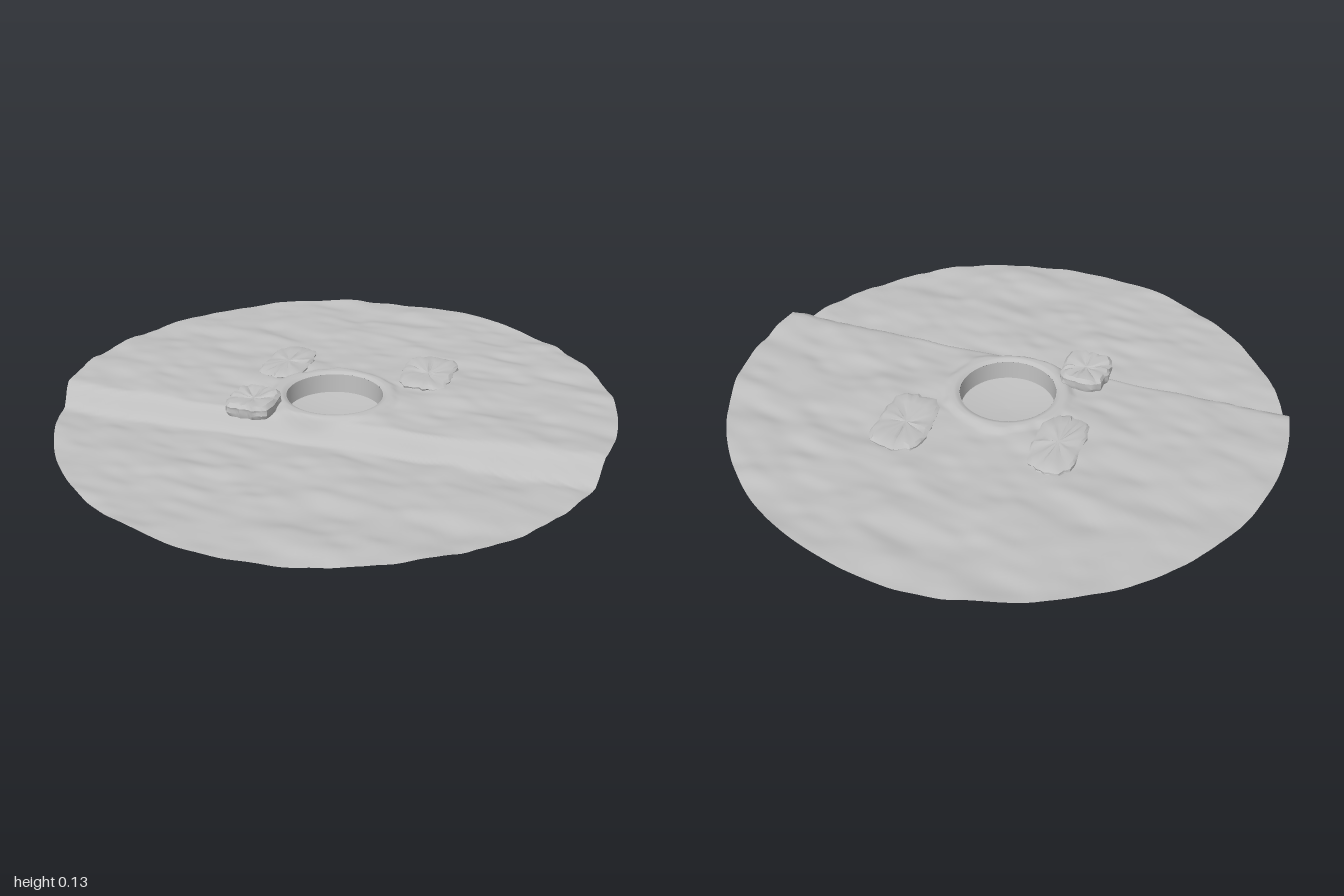
import * as THREE from 'three';
import { toCreasedNormals } from 'three/addons/utils/BufferGeometryUtils.js';

const { smoothstep, lerp } = THREE.MathUtils;
const PIT = 0.175;

const stone = new THREE.MeshStandardMaterial({ color: 0xbfbfbf, side: THREE.DoubleSide });
stone.name = 'pale grey stone';

// Repeatable value noise, -1 to 1
function hash(i, j) {
  const s = Math.sin(i * 127.1 + j * 311.7) * 43758.5453;
  return (s - Math.floor(s)) * 2 - 1;
}
function noise(x, y) {
  const i = Math.floor(x), j = Math.floor(y);
  const u = smoothstep(x - i, 0, 1), v = smoothstep(y - j, 0, 1);
  return lerp(lerp(hash(i, j), hash(i + 1, j), u), lerp(hash(i, j + 1), hash(i + 1, j + 1), u), v);
}

// Ground height: high back, step down to a low front, raised collar round the pit
function groundHeight(x, z) {
  const r = Math.hypot(x, z);
  const a = x + z * 0.35, b = z - x * 0.2;
  const ripple = 0.009 * noise(a * 5 + 20, b * 11 + 20) + 0.004 * noise(a * 12 + 50, b * 22 + 50);
  const ground = lerp(0.09, 0.02, smoothstep(z, 0.195, 0.275)) + ripple;
  const collar = 0.103 - 0.008 * (1 - smoothstep(r, PIT, PIT + 0.015));
  const edge = 0.225 + 0.012 * noise(x * 20 + 9, z * 20 + 9);
  return lerp(collar, ground, smoothstep(r, edge - 0.015, edge + 0.015));
}

// Surface from rings of points, each ring closed
function loft(rings) {
  const n = rings[0].length, pos = [], idx = [];
  rings.forEach((ring) => ring.forEach((p) => pos.push(...p)));
  for (let k = 0; k < rings.length - 1; k++) {
    for (let i = 0; i < n; i++) {
      const a = k * n + i, b = k * n + ((i + 1) % n), c = a + n, d = b + n;
      idx.push(a, b, c, b, d, c);
    }
  }
  const g = new THREE.BufferGeometry();
  g.setAttribute('position', new THREE.Float32BufferAttribute(pos, 3));
  g.setIndex(idx);
  g.computeVertexNormals();
  return g;
}

function groundGeometry() {
  const rings = [], RINGS = 66, SIDES = 256;
  for (let k = 0; k <= RINGS; k++) {
    const r = PIT + (1 - PIT) * Math.pow(k / RINGS, 1.2);
    rings.push(Array.from({ length: SIDES }, (_, i) => {
      const t = -(i / SIDES) * Math.PI * 2;
      const x = r * Math.cos(t), z = r * Math.sin(t);
      return [x, groundHeight(x, z), z];
    }));
  }
  // Loft faces upward when rings run outward with decreasing angle
  return loft(rings.reverse().map((ring) => ring.reverse()));
}

// Jagged slab: rough rounded-rectangle outline, creased top around a central patch
function rockGeometry(w, d, y0, y1, seed, patch, dip) {
  const SIDES = 36, h = y1 - y0;
  // [scale, height, roughness]
  const layers = [
    [0.0, y0, 0], [0.93, y0, 0.05], [0.98, y0 + h * 0.3, 0.06], [0.95, y0 + h * 0.55, 0.06],
    [0.97, y0 + h * 0.72, 0.06], [0.85, y1 - 0.003, 0.09], [0.6, y1 - 0.002, 0.09],
    [patch, y1 - dip, 0.1], [0, y1 - dip, 0],
  ];
  const rings = layers.map(([s, y, rough], k) => Array.from({ length: SIDES }, (_, i) => {
    const t = -(i / SIDES) * Math.PI * 2;
    const c = Math.cos(t), q = Math.sin(t);
    const box = Math.pow(Math.pow(Math.abs(c), 3.5) + Math.pow(Math.abs(q), 3.5), -1 / 3.5);
    const m = box * s * (1 + rough * hash(i + seed, 3) + rough * 0.35 * hash(i + seed, k));
    const lift = k > 4 && s > 0 ? 0.004 * hash(i + seed * 3, 7) : 0;
    return [c * m * w / 2, y + lift, q * m * d / 2];
  }));
  return toCreasedNormals(loft(rings), 0.6);
}

export function createModel() {
  const group = new THREE.Group();
  group.name = 'steppedGroundWithPit';
  const add = (name, geometry, x = 0, z = 0) => {
    const mesh = new THREE.Mesh(geometry, stone);
    mesh.name = name;
    mesh.position.set(x, 0, z);
    group.add(mesh);
  };

  add('ground', groundGeometry());

  // Round pit: straight wall and shallow dished floor
  const lathe = (pts) => new THREE.LatheGeometry(pts.map((p) => new THREE.Vector2(...p)), 72);
  add('pitWall', lathe([[PIT - 0.003, 0.024], [PIT, 0.095]]));
  add('pitFloor', lathe([[0, 0.008], [0.06, 0.01], [0.12, 0.016], [PIT - 0.003, 0.024]]));

  // Loose slabs around the pit
  add('backRightRock', rockGeometry(0.17, 0.31, 0.073, 0.106, 11, 0.32, 0.002), -0.26, -0.22);
  add('backLeftRock', rockGeometry(0.2, 0.31, 0.073, 0.108, 47, 0.2, 0.01), 0.277, -0.285);
  add('frontRightRock', rockGeometry(0.175, 0.2, 0.09, 0.139, 83, 0.25, 0.01), -0.238, 0.19);

  return group;
}
